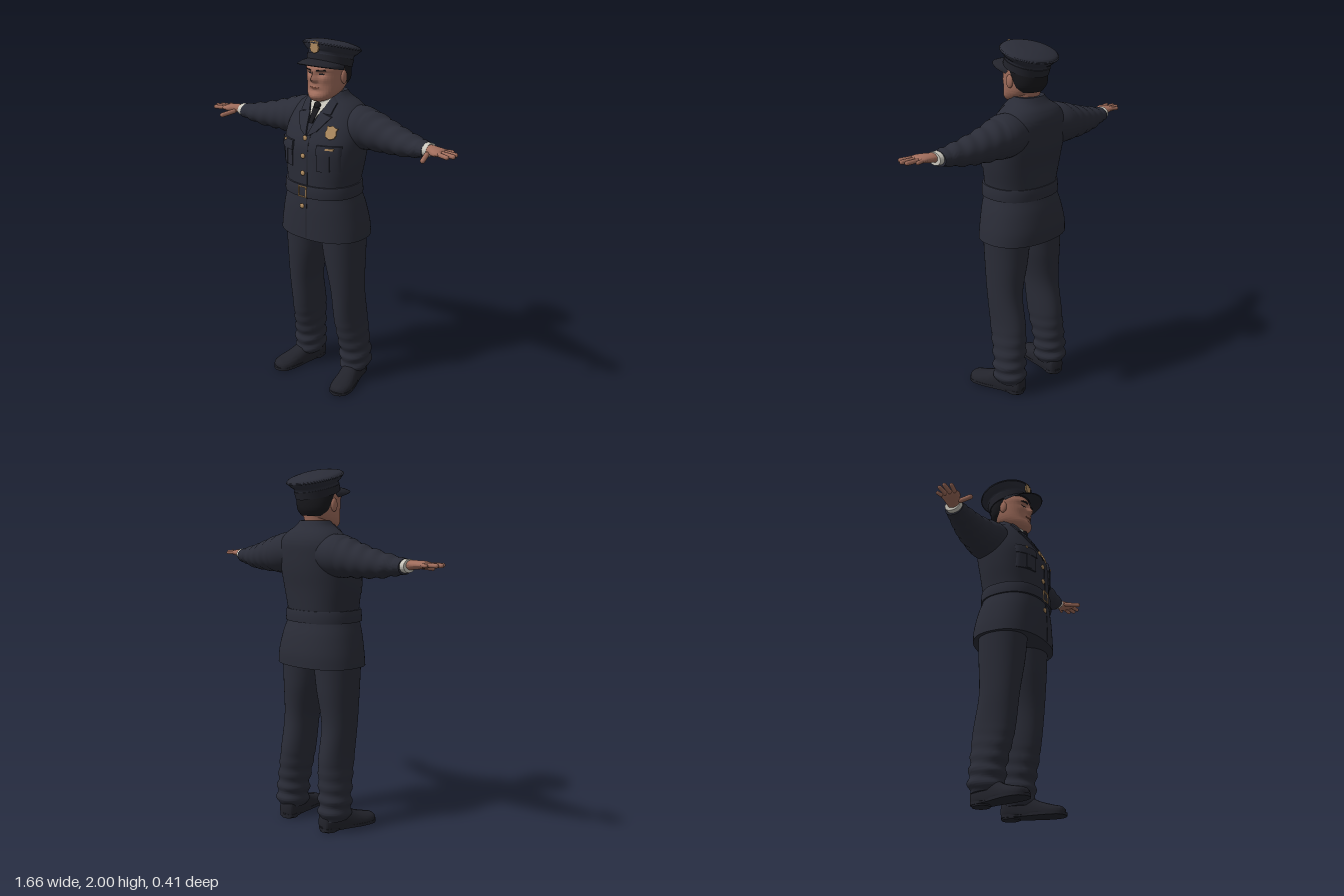
import * as THREE from 'three';
import { mergeVertices, toCreasedNormals } from 'three/addons/utils/BufferGeometryUtils.js';

const paint = (name, color, side = THREE.FrontSide) => {
  const m = new THREE.MeshStandardMaterial({ color, side });
  m.name = name;
  return m;
};

// Surface over a grid of points f(i, j), smooth except at sharp edges
function grid(ni, nj, f) {
  const pos = [], idx = [];
  for (let i = 0; i <= ni; i++) for (let j = 0; j <= nj; j++) pos.push(...f(i, j));
  for (let i = 0; i < ni; i++) for (let j = 0; j < nj; j++) {
    const a = i * (nj + 1) + j, c = a + nj + 1;
    idx.push(a, a + 1, c, a + 1, c + 1, c);
  }
  const g = new THREE.BufferGeometry();
  g.setAttribute('position', new THREE.Float32BufferAttribute(pos, 3));
  g.setIndex(idx);
  return toCreasedNormals(mergeVertices(g, 1e-5), 0.9);
}

// Catmull-Rom refinement of cross-section rows
function refine(rows, n = 6) {
  const out = [], at = i => rows[Math.max(0, Math.min(rows.length - 1, i))];
  for (let i = 0; i < rows.length - 1; i++) for (let k = 0; k < n; k++) {
    const t = k / n;
    out.push(rows[i].map((b, q) => {
      const a = at(i - 1)[q], c = at(i + 1)[q], d = at(i + 2)[q];
      return b + 0.5 * t * (c - a + t * (2 * a - 5 * b + 4 * c - d + t * (3 * (b - c) + d - a)));
    }));
  }
  out.push(rows[rows.length - 1]);
  return out;
}

// Closed loft along an axis; rows are [position, centre1, centre2, radius1, radius2]
function loft(axis, rows, { p = 2, seg = 40, n = 6, rule = null } = {}) {
  const r = refine(rows, n);
  r.unshift([...r[0].slice(0, 3), 0, 0]);
  r.push([...r[r.length - 1].slice(0, 3), 0, 0]);
  const pw = v => Math.sign(v) * Math.abs(v) ** (2 / p);
  return grid(r.length - 1, seg, (i, j) => {
    const [t, c1, c2, r1, r2] = r[i], a = (j % seg) / seg * Math.PI * 2;
    const C = pw(Math.cos(a)), S = pw(Math.sin(a));
    const q = axis === 'y' ? [c1 + r1 * S, t, c2 + r2 * C]
      : axis === 'x' ? [t, c1 + r1 * C, c2 + r2 * S] : [c1 + r1 * C, c2 + r2 * S, t];
    return rule ? rule(...q) : q;
  });
}

// Front z of a body lofted along y
function frontOf(rows, p) {
  const r = refine(rows);
  return (x, y) => {
    let i = 0;
    while (i < r.length - 2 && r[i + 1][0] < y) i++;
    const k = THREE.MathUtils.clamp((y - r[i][0]) / (r[i + 1][0] - r[i][0]), 0, 1);
    const [, , c, rx, rz] = r[i].map((v, q) => v + (r[i + 1][q] - v) * k);
    return c + rz * Math.max(0, 1 - Math.abs(x / rx) ** p) ** (1 / p);
  };
}

// Thin panel laid on a front surface; corners run bl, br, tr, tl
function patch(surface, corners, lift, n = 10) {
  const [bl, br, tr, tl] = corners, mix = THREE.MathUtils.lerp;
  return grid(n + 2, n + 2, (i, j) => {
    const v = THREE.MathUtils.clamp((i - 1) / n, 0, 1), u = THREE.MathUtils.clamp((j - 1) / n, 0, 1);
    const [x, y] = [0, 1].map(q => mix(mix(bl[q], br[q], u), mix(tl[q], tr[q], u), v));
    const edge = i === 0 || j === 0 || i === n + 2 || j === n + 2;
    return [x, y, surface(x, y) + (edge ? -0.004 : lift)];
  });
}
const rect = (x0, y0, x1, y1) => [[x0, y0], [x1, y0], [x1, y1], [x0, y1]];

// Mirrored copy across x = 0
function mirrored(geo) {
  const g = geo.index ? geo.toNonIndexed() : geo.clone();
  g.scale(-1, 1, 1);
  g.setIndex(Array.from({ length: g.attributes.position.count }, (_, i) => i + [0, 1, -1][i % 3]));
  return g;
}

// Rounded bar between two points
function bar(a, b, r) {
  const A = new THREE.Vector3(...a), B = new THREE.Vector3(...b), d = B.clone().sub(A);
  const g = new THREE.CapsuleGeometry(r, d.length(), 5, 12);
  g.applyQuaternion(new THREE.Quaternion().setFromUnitVectors(new THREE.Vector3(0, 1, 0), d.normalize()));
  return g.translate(...A.add(B).multiplyScalar(0.5).toArray());
}
const ball = (x, y, z, a, b, c) => new THREE.SphereGeometry(1, 20, 14).scale(a, b, c).translate(x, y, z);

// Small shield plate facing +z
function shield(w, h, depth) {
  const s = new THREE.Shape([[0, -1], [0.75, -0.75], [1, -0.2], [0.8, 0.35], [1, 0.8], [0.5, 0.8], [0, 1],
    [-0.5, 0.8], [-1, 0.8], [-0.8, 0.35], [-1, -0.2], [-0.75, -0.75]].map(([x, y]) => new THREE.Vector2(x * w, y * h)));
  return new THREE.ExtrudeGeometry(s, { depth, bevelEnabled: true, bevelSize: 0.002, bevelThickness: 0.003, bevelSegments: 2 });
}

export function createModel() {
  const cloth = paint('navy cloth', 0x2a2c37), dark = paint('dark leather', 0x22232b, THREE.DoubleSide);
  const skin = paint('skin', 0xa06d5c), lip = paint('lips', 0x83503f), hair = paint('black hair', 0x17171b);
  const white = paint('shirt white', 0xcbc8be), gold = paint('brass', 0xb08c60);
  const model = new THREE.Group();
  const add = (name, geo, mat, parent = model) => {
    const m = new THREE.Mesh(geo, mat);
    m.name = name;
    parent.add(m);
    return m;
  };
  const pair = (name, geo, mat) => {
    add('left ' + name, geo, mat);
    add('right ' + name, mirrored(geo), mat);
  };
  // Rows given as [y, half width, front z, back z]
  const body = rows => rows.map(([y, rx, f, b]) => [y, 0, (f + b) / 2, rx, (f - b) / 2]);

  // Jacket
  const torso = body([[0.925, 0.265, 0.2, -0.2], [1.0, 0.255, 0.2, -0.2], [1.1, 0.232, 0.198, -0.182],
    [1.19, 0.205, 0.19, -0.155], [1.24, 0.207, 0.19, -0.16], [1.35, 0.228, 0.188, -0.172], [1.45, 0.238, 0.182, -0.188],
    [1.53, 0.235, 0.147, -0.195], [1.6, 0.215, 0.103, -0.195], [1.65, 0.175, 0.068, -0.175], [1.69, 0.113, 0.045, -0.14],
    [1.72, 0.088, 0.02, -0.118]]);
  const chest = frontOf(torso, 2.3);
  add('jacket', loft('y', torso, { p: 2.3, seg: 64 }), cloth);
  add('belt', loft('y', body([[1.168, 0.218, 0.202, -0.166], [1.175, 0.22, 0.204, -0.168], [1.228, 0.216, 0.202, -0.166],
    [1.235, 0.213, 0.198, -0.162]]), { p: 2.3, seg: 64, n: 2 }), cloth);
  add('front overlap', patch(chest, [[0.018, 0.935], [0.024, 0.935], [0.024, 1.52], [0.018, 1.52]], 0.002), dark);
  pair('lapel', patch(chest, [[0.003, 1.5], [0.055, 1.53], [0.11, 1.605], [0.035, 1.625]], 0.009), cloth);
  pair('jacket collar', patch(chest, [[0.04, 1.622], [0.1, 1.615], [0.105, 1.67], [0.07, 1.7]], 0.01), cloth);
  pair('chest pocket', patch(chest, rect(0.085, 1.325, 0.195, 1.45), 0.007), cloth);
  pair('pocket pleat', patch(chest, rect(0.127, 1.33, 0.153, 1.42), 0.012), cloth);
  pair('pocket flap', patch(chest, [[0.08, 1.415], [0.2, 1.415], [0.198, 1.467], [0.082, 1.467]], 0.013), cloth);

  // Shirt, tie and brass
  add('shirt front', patch(chest, [[-0.008, 1.575], [0.008, 1.575], [0.07, 1.69], [-0.07, 1.69]], 0.004), white);
  add('shirt collar', loft('y', [[1.63, 0, -0.02, 0.09, 0.085], [1.68, 0, -0.018, 0.083, 0.084],
    [1.71, 0, -0.018, 0.079, 0.077]]), white);
  add('tie', patch(chest, [[-0.012, 1.565], [0.012, 1.565], [0.022, 1.64], [-0.022, 1.64]], 0.01), hair);
  add('tie knot', ball(0, 1.65, 0.075, 0.021, 0.02, 0.016), hair);
  for (const y of [1.49, 1.395, 1.3, 1.115]) add('jacket button', ball(-0.006, y, chest(0, y) + 0.004, 0.014, 0.014, 0.008), gold);
  const buckle = new THREE.Shape([[-0.029, -0.031], [0.029, -0.031], [0.029, 0.031], [-0.029, 0.031]].map(q => new THREE.Vector2(...q)));
  buckle.holes.push(new THREE.Path([[-0.023, -0.025], [-0.023, 0.025], [0.023, 0.025], [0.023, -0.025]].map(q => new THREE.Vector2(...q))));
  add('belt buckle', new THREE.ExtrudeGeometry(buckle, { depth: 0.008, bevelEnabled: false }).translate(0, 1.2, 0.2), gold);
  const badge = add('chest badge', shield(0.03, 0.036, 0.006), gold);
  badge.position.set(0.135, 1.532, chest(0.135, 1.532) + 0.002);
  badge.rotation.set(-0.5, 0.35, 0);
  add('left pocket pin', patch(chest, rect(0.133, 1.447, 0.172, 1.457), 0.018, 3), gold);
  add('right pocket pin', ball(-0.15, 1.46, chest(-0.15, 1.46) + 0.014, 0.01, 0.008, 0.006), gold);

  // Arms, cuffs and hands
  pair('sleeve', loft('x', [[0.1, 1.545, -0.065, 0.1, 0.105], [0.2, 1.537, -0.06, 0.115, 0.126], [0.27, 1.53, -0.063, 0.104, 0.114],
    [0.38, 1.514, -0.06, 0.085, 0.095], [0.5, 1.502, -0.045, 0.065, 0.077], [0.6, 1.502, -0.032, 0.045, 0.06],
    [0.63, 1.5, -0.03, 0.041, 0.055]],
  { n: 10, rule: (x, y, z) => [x, y + 0.004 * Math.sin(x * 75 + z * 25) * (x > 0.25 && x < 0.6), z] }), cloth);
  pair('shirt cuff', loft('x', [[0.6, 1.503, -0.028, 0.037, 0.05], [0.655, 1.505, -0.026, 0.034, 0.047]], { n: 2 }), white);
  pair('palm', loft('x', [[0.64, 1.508, -0.022, 0.025, 0.033], [0.67, 1.51, -0.012, 0.024, 0.04], [0.71, 1.512, 0.004, 0.021, 0.052],
    [0.74, 1.512, 0.006, 0.016, 0.052], [0.75, 1.512, 0.006, 0.009, 0.045]], { seg: 24 }), skin);
  const fingers = [[0.73, -0.034, 0.772, -0.043, 0.01], [0.74, -0.012, 0.81, -0.008, 0.0115],
    [0.742, 0.015, 0.816, 0.024, 0.012], [0.738, 0.04, 0.8, 0.056, 0.0115]];
  for (const [x0, z0, x1, z1, r] of fingers) pair('finger', bar([x0, 1.513, z0], [x1, 1.512, z1], r), skin);
  pair('thumb', bar([0.672, 1.5, 0.035], [0.695, 1.488, 0.108], 0.013), skin);

  // Trousers with fabric folds near the ankle
  pair('trouser leg', loft('y', [[0.065, 0.172, -0.063, 0.07, 0.088], [0.12, 0.173, -0.063, 0.082, 0.1], [0.2, 0.17, -0.06, 0.082, 0.098],
    [0.4, 0.155, -0.035, 0.077, 0.118], [0.6, 0.152, -0.007, 0.084, 0.113], [0.8, 0.134, -0.002, 0.108, 0.129],
    [0.96, 0.125, 0, 0.122, 0.138]], { p: 2.15, n: 12, rule: (x, y, z) => {
    const fold = 0.005 * Math.sin(y * 85 + z * 12) * THREE.MathUtils.clamp((0.42 - y) / 0.25, 0, 1);
    return [x + Math.sign(x - 0.165) * fold, y, z + Math.sign(z + 0.05) * fold];
  } }), cloth);

  // Shoes, toes turned out
  const turn = g => g.rotateY(0.22).translate(0.172, 0, -0.055);
  pair('shoe', turn(loft('z', [[-0.095, 0, 0.045, 0.03, 0.045], [-0.08, 0, 0.05, 0.046, 0.065], [-0.02, 0, 0.05, 0.053, 0.08],
    [0.05, 0, 0.04, 0.055, 0.085], [0.12, 0.002, 0.03, 0.06, 0.062], [0.19, 0.002, 0.025, 0.062, 0.045],
    [0.235, 0, 0.025, 0.048, 0.034], [0.252, 0, 0.025, 0.022, 0.02]],
  { p: 2.3, rule: (x, y, z) => [x, Math.max(0.016, y), z] })), dark);
  const sole = new THREE.Shape(new THREE.SplineCurve([[0, -0.1], [0.045, -0.08], [0.05, 0.02], [0.066, 0.15], [0.054, 0.23], [0, 0.262],
    [-0.052, 0.23], [-0.062, 0.15], [-0.05, 0.02], [-0.045, -0.08], [0, -0.1]].map(([x, z]) => new THREE.Vector2(x, -z))).getPoints(60));
  pair('sole', turn(new THREE.ExtrudeGeometry(sole, { depth: 0.016, bevelEnabled: false }).rotateX(-Math.PI / 2).translate(0, 0.008, 0)), dark);
  pair('heel', turn(new THREE.CylinderGeometry(0.047, 0.046, 0.03, 24).scale(1, 1, 1.1).translate(0, 0.015, -0.046)), dark);

  // Head, sculpted with soft bumps [x, y, width, height, amount]
  add('neck', loft('y', [[1.6, 0, -0.03, 0.085, 0.08], [1.68, 0, -0.025, 0.074, 0.07], [1.78, 0, -0.03, 0.08, 0.085]]), skin);
  const skull = body([[1.677, 0.035, 0.095, 0.02], [1.69, 0.06, 0.105, -0.02], [1.71, 0.08, 0.107, -0.06], [1.74, 0.095, 0.1, -0.1],
    [1.78, 0.103, 0.098, -0.122], [1.82, 0.106, 0.1, -0.13], [1.86, 0.107, 0.1, -0.132], [1.92, 0.09, 0.075, -0.115]]);
  const bumps = [[0, 1.795, 0.017, 0.017, 0.026], [0, 1.822, 0.012, 0.026, 0.014], [0.016, 1.789, 0.01, 0.01, 0.008],
    [0, 1.753, 0.028, 0.01, 0.008], [0, 1.733, 0.03, 0.008, -0.005], [0, 1.705, 0.03, 0.016, 0.008],
    [0.04, 1.824, 0.02, 0.011, -0.012], [0.04, 1.847, 0.03, 0.009, 0.009], [0.055, 1.795, 0.022, 0.02, 0.006]];
  const relief = (x, y) => bumps.reduce((s, [bx, by, w, h, a]) =>
    s + a * Math.exp(-(((Math.abs(x) - bx) / w) ** 2) - ((y - by) / h) ** 2), 0);
  add('head', loft('y', skull, { p: 2.2, seg: 96, n: 8, rule: (x, y, z) => [x, y, z + (z > 0.01 ? relief(x, y) : 0)] }), skin);
  const skullFront = frontOf(skull, 2.2), face = (x, y) => skullFront(x, y) + relief(x, y);
  pair('eye', patch(face, [[0.028, 1.819], [0.05, 1.819], [0.053, 1.826], [0.026, 1.826]], 0.002, 4), hair);
  pair('eyebrow', patch(face, [[0.018, 1.838], [0.066, 1.841], [0.064, 1.848], [0.02, 1.846]], 0.002, 6), hair);
  add('mouth', patch(face, [[-0.027, 1.746], [0.027, 1.746], [0.03, 1.754], [-0.03, 1.754]], 0.002), lip);
  pair('ear', ball(0.11, 1.803, -0.012, 0.012, 0.036, 0.022).rotateY(0), skin);
  add('hair', loft('y', [[1.745, 0, -0.06, 0.075, 0.055], [1.775, 0, -0.06, 0.1, 0.073], [1.81, 0, -0.054, 0.109, 0.085],
    [1.85, 0, -0.04, 0.112, 0.1], [1.885, 0, -0.035, 0.112, 0.105]]), hair);

  // Peaked cap, tilted back
  const cap = new THREE.Group();
  cap.name = 'cap';
  cap.position.set(0, 1.872, -0.03);
  cap.rotation.x = -0.25;
  model.add(cap);
  add('cap crown', loft('y', [[-0.012, 0, 0, 0.116, 0.122], [0.035, 0, 0, 0.12, 0.125], [0.052, 0, 0, 0.138, 0.138],
    [0.073, 0, 0, 0.157, 0.153], [0.083, 0, 0, 0.156, 0.152], [0.095, 0, 0, 0.137, 0.134], [0.108, 0, 0, 0.075, 0.075],
    [0.111, 0, 0, 0.01, 0.01]], { seg: 56 }), cloth, cap);
  add('cap piping', new THREE.TorusGeometry(0.154, 0.005, 8, 64).rotateX(Math.PI / 2).scale(1.015, 1, 0.995).translate(0, 0.077, 0), cloth, cap);
  add('cap band', loft('y', [[-0.014, 0, 0, 0.12, 0.126], [0.026, 0, 0, 0.123, 0.129]], { seg: 56, n: 2 }), dark, cap);
  const capBadge = add('cap badge', shield(0.028, 0.032, 0.006), gold, cap);
  capBadge.position.set(0, 0.058, 0.142);
  capBadge.rotation.x = 0.25;
  // Visor curves forward and droops at the sides, with an underside
  add('visor', grid(9, 32, (i, j) => {
    const a = (j / 32 - 0.5) * 2.9, k = [0, 0.25, 0.5, 0.75, 0.95, 1, 0.95, 0.6, 0.3, 0][i];
    const reach = 0.085 * Math.max(0, Math.cos(a)) ** 0.8, under = i > 5 ? 0.006 : 0;
    return [Math.sin(a) * (0.119 + 0.22 * reach * k), 1.858 + 0.042 * Math.cos(a) - 0.016 * k * k - under,
      -0.025 + Math.cos(a) * 0.122 + reach * k];
  }), dark);
  return model;
}
